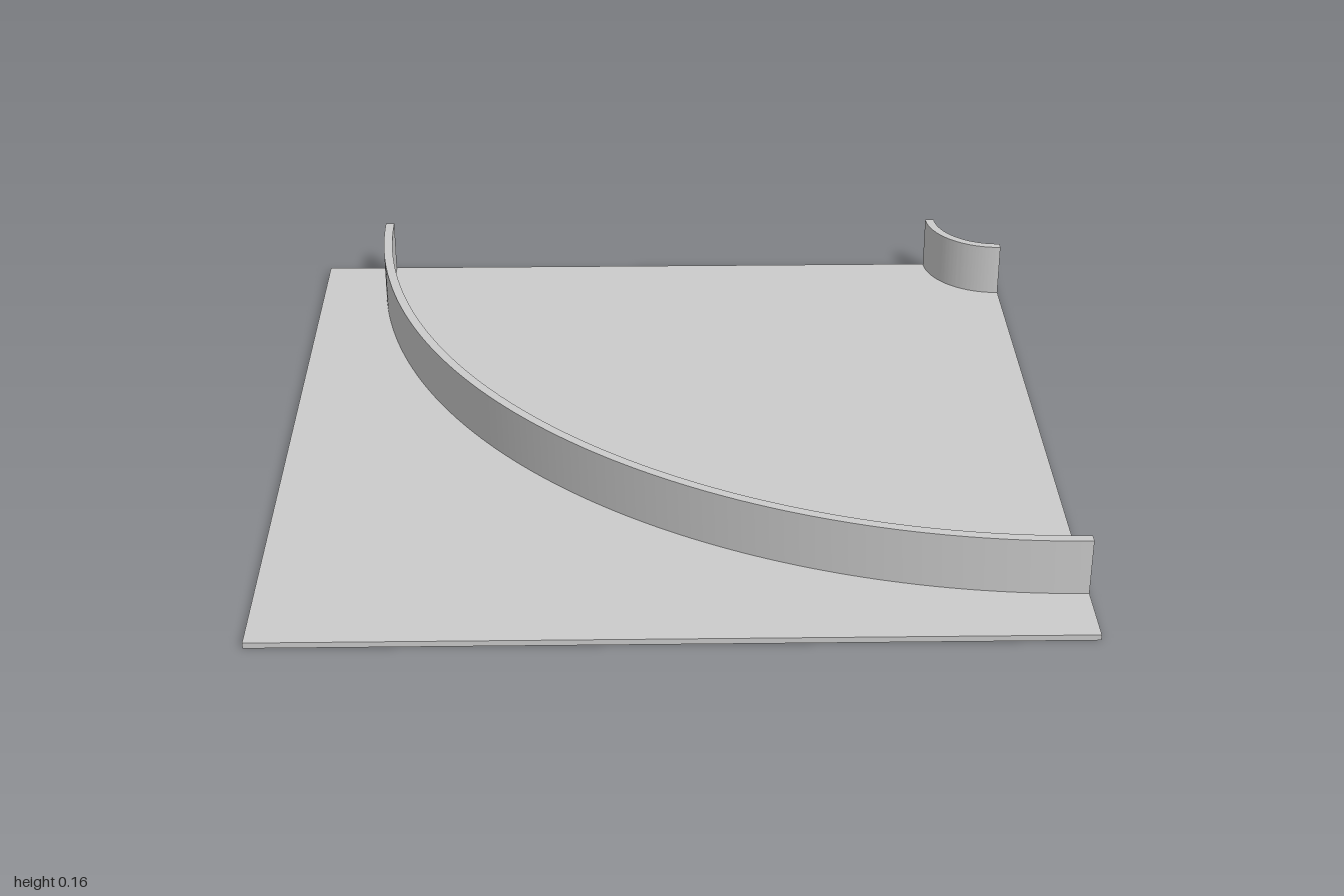
import * as THREE from 'three';
import { toCreasedNormals } from 'three/addons/utils/BufferGeometryUtils.js';

const BASE = 0.015, TOP = 0.163;

export function createModel() {
  const group = new THREE.Group();
  const material = new THREE.MeshStandardMaterial({ color: 0xcccccc });

  function add(name, geometry) {
    const mesh = new THREE.Mesh(geometry, material);
    mesh.name = name;
    group.add(mesh);
    return mesh;
  }

  // Quarter-ring wall standing on the base, centred on the back left corner
  function addWall(name, inner, outer, segments) {
    const shape = new THREE.Shape();
    shape.absarc(1, 1, outer, Math.PI, Math.PI * 1.5, false);
    shape.absarc(1, 1, inner, Math.PI * 1.5, Math.PI, true);
    shape.closePath();
    const geometry = new THREE.ExtrudeGeometry(shape, {
      depth: TOP - BASE, bevelEnabled: false, curveSegments: segments,
    });
    geometry.rotateX(-Math.PI / 2);
    add(name, toCreasedNormals(geometry, 0.5)).position.y = BASE;
  }

  // Square base plate
  add('basePlate', new THREE.BoxGeometry(2, BASE, 2)).position.y = BASE / 2;

  // Outer and inner edges of the curve
  addWall('outerWall', 1.8, 1.825, 64);
  addWall('innerWall', 0.175, 0.2, 32);

  return group;
}
